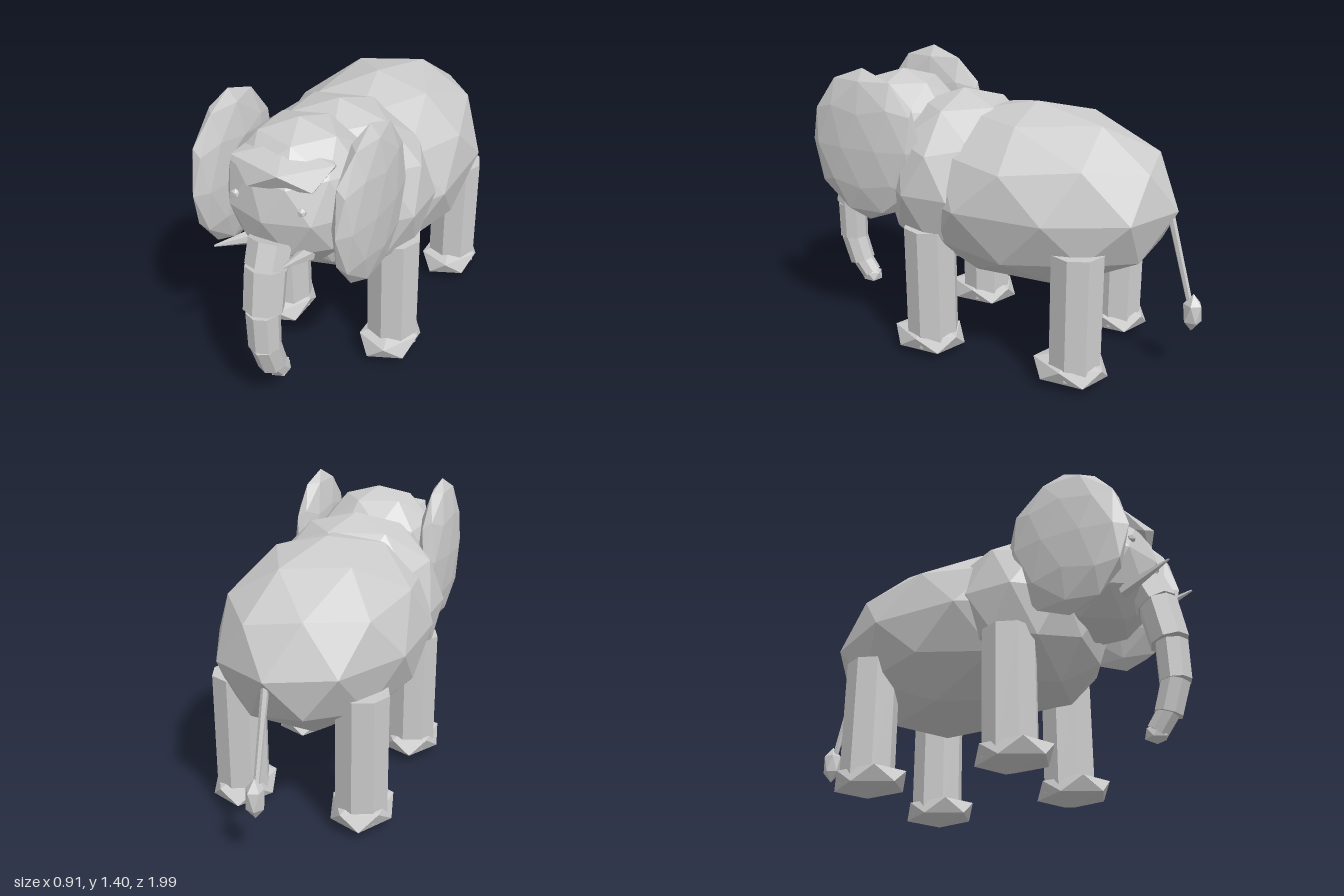
import * as THREE from 'three';

const material = new THREE.MeshStandardMaterial({ color: 0xcccccc, flatShading: true, side: THREE.DoubleSide });
const POLE_TILT = -Math.atan(2 / (1 + Math.sqrt(5))); // puts an icosahedron corner straight up

export function createModel() {
  const model = new THREE.Group();
  model.name = 'elephant';

  const add = (name, geometry) => {
    const mesh = new THREE.Mesh(geometry, material);
    mesh.name = name;
    model.add(mesh);
    return mesh;
  };

  // Faceted ellipsoid with a corner at its top and bottom
  const blob = (name, detail, center, radii) => {
    const geometry = new THREE.IcosahedronGeometry(1, detail);
    geometry.rotateZ(POLE_TILT).scale(...radii).computeVertexNormals();
    add(name, geometry).position.set(...center);
  };

  // Tapered rod between two points
  const rod = (name, from, to, r0, r1, sides) => {
    const a = new THREE.Vector3(...from);
    const b = new THREE.Vector3(...to);
    const axis = b.clone().sub(a);
    const mesh = add(name, new THREE.CylinderGeometry(r1, r0, axis.length(), sides));
    mesh.position.copy(a).add(b).multiplyScalar(0.5);
    mesh.quaternion.setFromUnitVectors(new THREE.Vector3(0, 1, 0), axis.normalize());
  };

  // Body masses
  blob('body', 1, [0, 0.81, -0.16], [0.48, 0.44, 0.7]);
  blob('shoulders', 1, [0, 0.843, 0.22], [0.453, 0.432, 0.375]);
  blob('head', 1, [0, 1.008, 0.56], [0.33, 0.332, 0.32]);
  blob('brow', 0, [0, 1.19, 0.675], [0.26, 0.09, 0.215]);

  // Paired parts
  for (const side of [1, -1]) {
    const label = side > 0 ? 'left' : 'right';
    blob(label + 'Ear', 1, [0.335 * side, 1.028, 0.575], [0.08, 0.372, 0.3]);
    blob(label + 'Eye', 0, [0.157 * side, 1.07, 0.82], [0.021, 0.021, 0.021]);
    rod(label + 'Tusk', [0.135 * side, 0.82, 0.75], [0.16 * side, 0.91, 0.985], 0.036, 0.005, 6);
    for (const [end, z] of [['Front', 0.26], ['Back', -0.492]]) {
      rod(label + end + 'Leg', [0.3 * side, 0.06, z], [0.3 * side, 0.665, z], 0.128, 0.128, 8);
      blob(label + end + 'Foot', 0, [0.3 * side, 0.08, z + 0.018], [0.16, 0.08, 0.2]);
    }
  }

  // Trunk: overlapping segments, each as [y, z] start, [y, z] end, radius
  const segments = [
    [[0.89, 0.815], [0.785, 0.86], 0.1],
    [[0.79, 0.865], [0.588, 0.905], 0.093],
    [[0.582, 0.912], [0.396, 0.915], 0.076],
    [[0.4, 0.915], [0.255, 0.87], 0.068],
    [[0.265, 0.872], [0.185, 0.815], 0.053],
  ];
  for (const [a, b, r] of segments) rod('trunkSegment', [0, ...a], [0, ...b], r, r * 0.97, 8);
  blob('trunkTip', 0, [0, 0.175, 0.81], [0.052, 0.045, 0.058]);

  // Tail and tuft
  rod('tail', [0, 0.83, -0.815], [0, 0.34, -0.95], 0.018, 0.014, 6);
  blob('tailTuft', 0, [0, 0.325, -0.957], [0.046, 0.095, 0.05]);

  return model;
}
